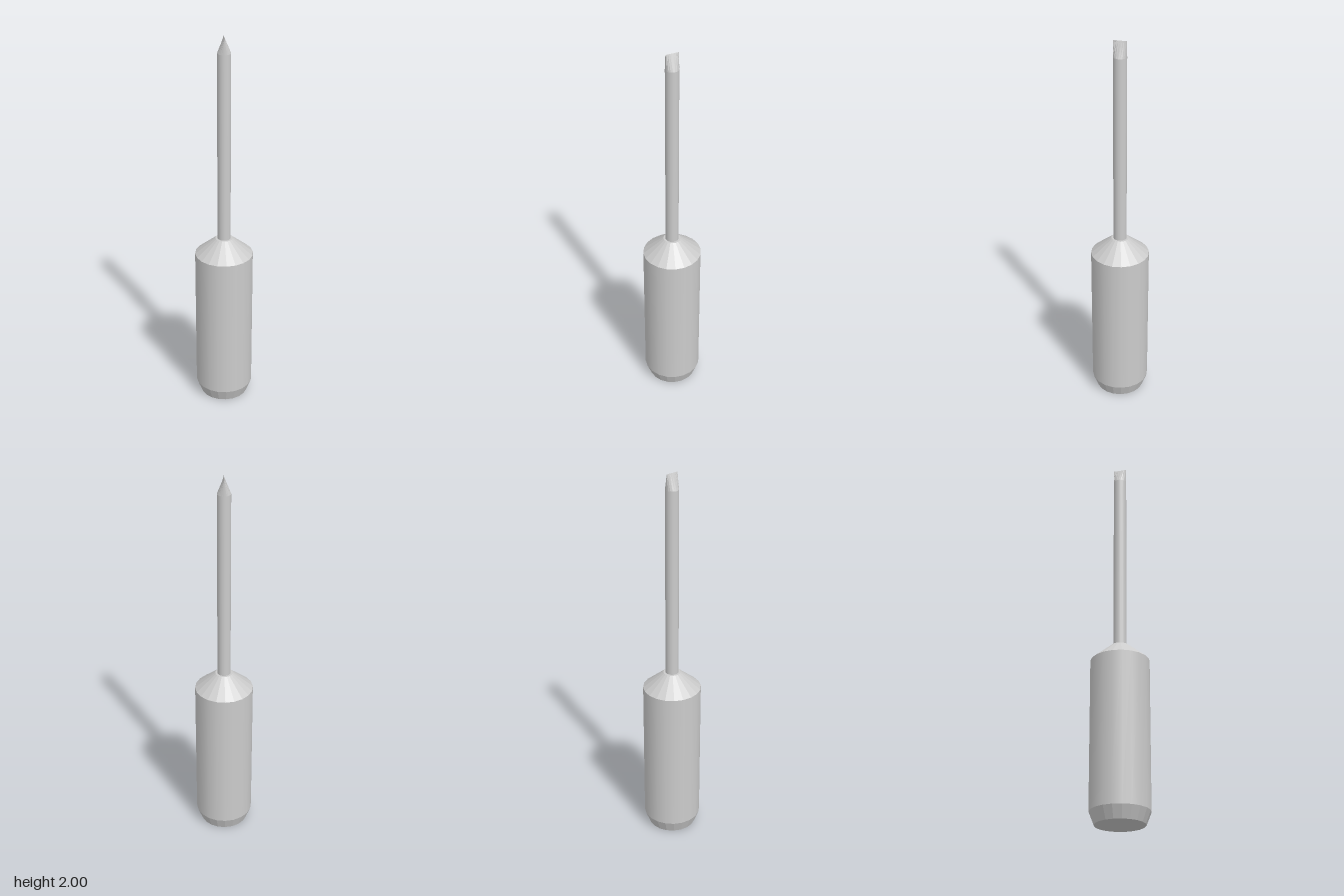
import * as THREE from 'three';

const SIDES = 20;

export function createModel() {
  const group = new THREE.Group();
  const smooth = new THREE.MeshStandardMaterial({ color: 0xcccccc });
  const faceted = new THREE.MeshStandardMaterial({ color: 0xcccccc, flatShading: true });

  // Tapered round section between two heights
  function section(name, rBottom, rTop, y0, y1, material, open = true) {
    const geometry = new THREE.CylinderGeometry(rTop, rBottom, y1 - y0, SIDES, 1, open);
    geometry.translate(0, (y0 + y1) / 2, 0);
    const mesh = new THREE.Mesh(geometry, material);
    mesh.name = name;
    group.add(mesh);
    return mesh;
  }

  // Handle: bevelled butt, straight grip, conical shoulder with a flat top
  section('handleButt', 0.126, 0.151, 0, 0.065, faceted, false);
  section('handleGrip', 0.151, 0.151, 0.065, 0.845, smooth);
  section('handleShoulder', 0.151, 0.045, 0.845, 0.933, faceted, false);

  // Shaft
  section('shaft', 0.034, 0.034, 0.92, 1.92, smooth);

  // Blade: the round shaft pinched to a straight edge along z
  const blade = section('bladeTip', 0.034, 0.034, 1.92, 2, faceted);
  const p = blade.geometry.attributes.position;
  for (let i = 0; i < p.count; i++) {
    if (p.getY(i) > 1.96) p.setX(i, 0);
  }
  blade.geometry.computeVertexNormals();

  return group;
}
